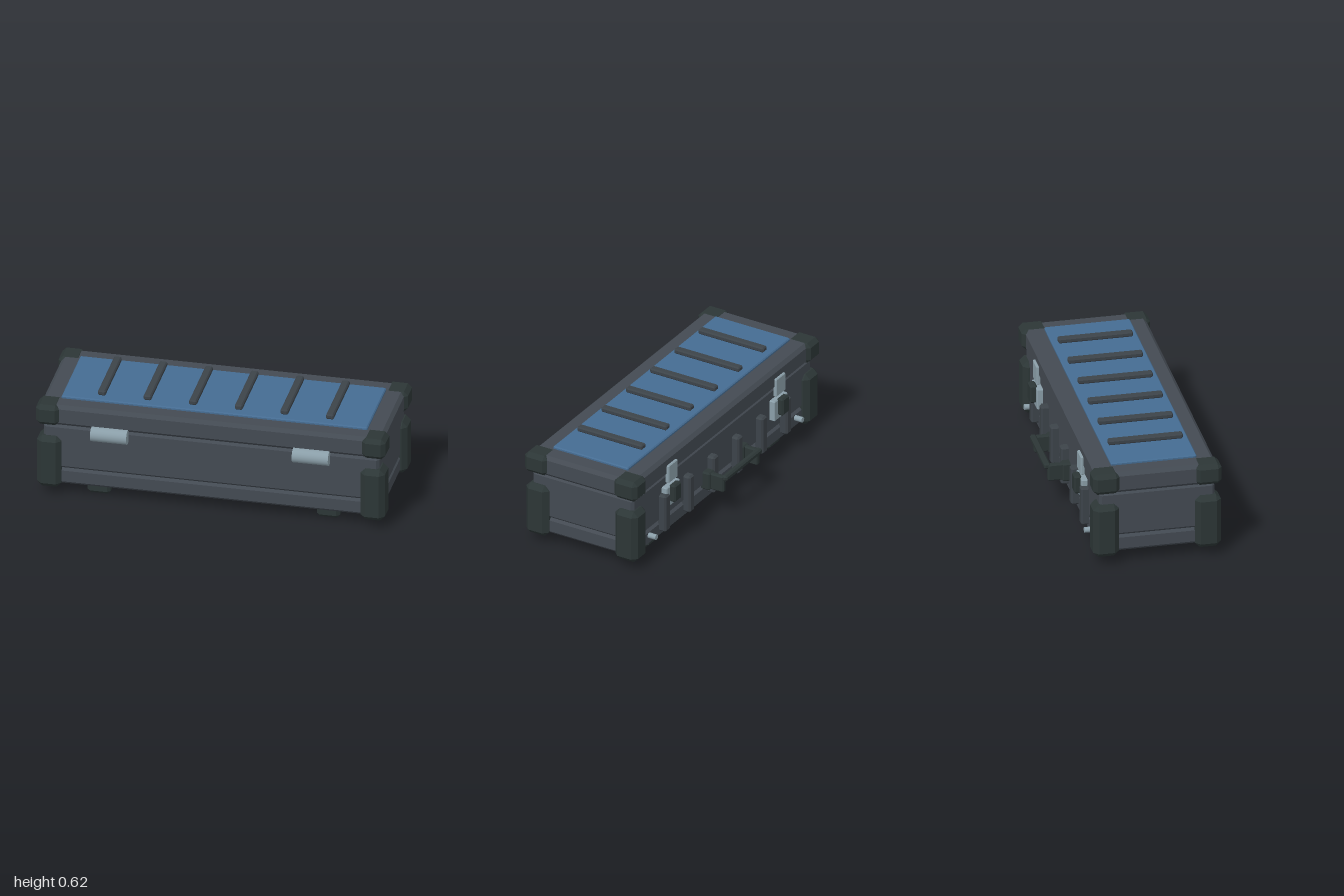
import * as THREE from 'three';
import { ConvexGeometry } from 'three/addons/geometries/ConvexGeometry.js';

const paint = (color) => new THREE.MeshStandardMaterial({ color });

// Box given by its ranges on each axis, with every edge chamfered by c
function chamferBox([x0, x1], [y0, y1], [z0, z1], c) {
  const h = [(x1 - x0) / 2, (y1 - y0) / 2, (z1 - z0) / 2];
  const points = [];
  for (const sx of [-1, 1]) for (const sy of [-1, 1]) for (const sz of [-1, 1]) {
    for (let face = 0; face < 3; face++) {
      const p = h.map((v, axis) => (axis === face ? v : v - c));
      points.push(new THREE.Vector3(p[0] * sx, p[1] * sy, p[2] * sz));
    }
  }
  return new ConvexGeometry(points).translate((x0 + x1) / 2, (y0 + y1) / 2, (z0 + z1) / 2);
}

export function createModel() {
  const model = new THREE.Group();
  model.name = 'equipmentCase';
  const shell = paint(0x434a52);
  const rubber = paint(0x2c3636);
  const ribGrey = paint(0x3c4349);
  const blue = paint(0x456c92);
  const steel = paint(0x8a9ea8);

  const add = (name, geometry, material) => {
    const mesh = new THREE.Mesh(geometry, material);
    mesh.name = name;
    model.add(mesh);
    return mesh;
  };
  const box = (name, x, y, z, c, material) => add(name, chamferBox(x, y, z, c), material);
  const around = (x, w) => [x - w / 2, x + w / 2];

  // Shell: base tray, upper body, gasket and lid
  box('baseTray', [-0.96, 0.96], [0.07, 0.17], [-0.285, 0.375], 0.016, shell);
  box('body', [-0.96, 0.96], [0.168, 0.438], [-0.285, 0.375], 0.015, shell);
  box('gasket', [-0.94, 0.94], [0.42, 0.45], [-0.265, 0.35], 0.005, rubber);
  box('lid', [-0.98, 0.98], [0.44, 0.565], [-0.305, 0.388], 0.02, shell);

  // Lid panel with raised cross ribs
  box('topPanel', [-0.875, 0.875], [0.555, 0.58], [-0.2, 0.29], 0.006, blue);
  const ribXs = Array.from({ length: 6 }, (_, i) => -0.653 + i * 0.261);
  for (const x of ribXs) {
    box('topRib', around(x, 0.044), [0.588, 0.618], [-0.17, 0.256], 0.007, ribGrey);
    box('backRib', around(x, 0.055), [0.11, 0.34], [-0.328, -0.27], 0.01, ribGrey);
  }

  for (const s of [-1, 1]) {
    const side = (a, b) => (s > 0 ? [a, b] : [-b, -a]);

    // Corner guards and feet, front and back
    for (const z of [[0.26, 0.408], [-0.322, -0.174]]) {
      box('bodyCorner', side(0.855, 0.995), [0.05, 0.37], z, 0.029, rubber);
    }
    for (const z of [[0.26, 0.41], [-0.325, -0.172]]) {
      box('lidCorner', side(0.865, 1), [0.443, 0.567], z, 0.024, rubber);
    }
    for (const z of [[0.19, 0.322], [-0.233, -0.101]]) {
      box('foot', side(0.59, 0.722), [0, 0.09], z, 0.018, rubber);
    }

    // Hinge barrel on the front
    const hinge = add('hingeBarrel', new THREE.CylinderGeometry(0.043, 0.043, 0.207, 20), steel);
    hinge.rotation.z = Math.PI / 2;
    hinge.position.set(s * 0.577, 0.417, 0.391);

    // Latch on the back
    box('latchLidPlate', around(s * 0.58, 0.1), [0.398, 0.51], [-0.319, -0.295], 0.005, steel);
    box('latchBodyPlate', around(s * 0.58, 0.14), [0.25, 0.376], [-0.319, -0.28], 0.005, steel);
    box('latchLever', around(s * 0.58, 0.072), [0.277, 0.385], [-0.352, -0.31], 0.009, rubber);

    // Bolt beside the latch
    const bolt = add('bolt', new THREE.CylinderGeometry(0.016, 0.016, 0.055, 12), steel);
    bolt.rotation.x = Math.PI / 2;
    bolt.position.set(s * 0.787, 0.136, -0.307);

    // Handle mount
    box('handleBase', around(s * 0.182, 0.06), [0.155, 0.265], [-0.332, -0.27], 0.008, rubber);
    box('handleArm', around(s * 0.182, 0.032), [0.16, 0.26], [-0.412, -0.3], 0.007, rubber);
  }

  // Handle grip
  box('handleGrip', [-0.195, 0.195], [0.233, 0.267], [-0.432, -0.396], 0.009, rubber);

  return model;
}
